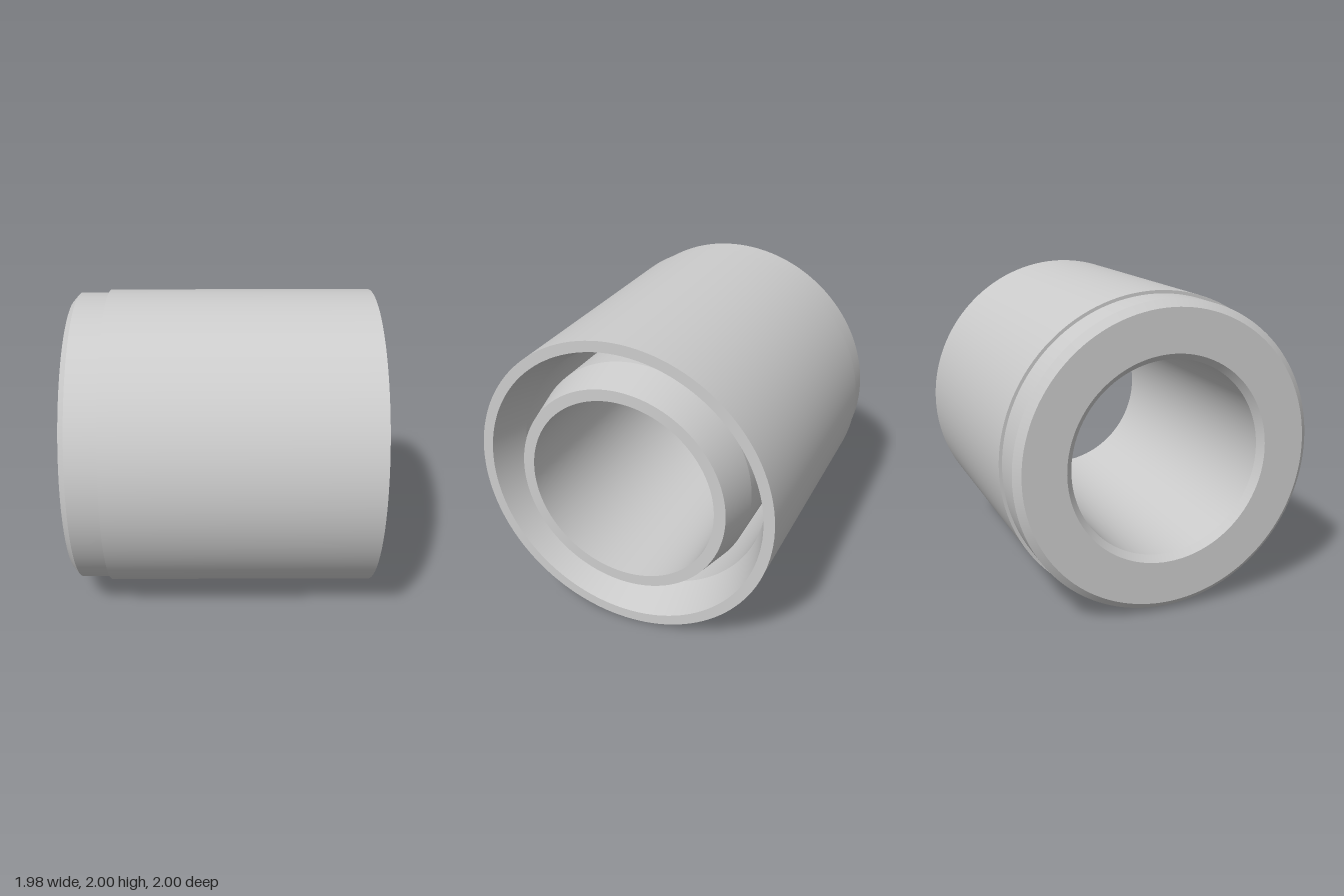
import * as THREE from 'three';

export function createModel() {
  const model = new THREE.Group();
  model.name = 'bushing';
  const steel = new THREE.MeshStandardMaterial({ color: 0xcccccc });
  steel.name = 'light grey metal';

  // Closed profile around the x axis: [name of the face that starts here, radius, x]
  const profile = [
    ['endFace', 0.66, -0.99],
    ['endChamfer', 0.935, -0.99],
    ['reducedCollar', 0.98, -0.95],
    ['collarStep', 0.98, -0.75],
    ['outerSleeve', 1, -0.75],
    ['outerRim', 1, 0.99],
    ['cavityLeadIn', 0.93, 0.99],
    ['cavityWall', 0.85, 0.72],
    ['cavityFloor', 0.85, -0.6],
    ['innerTubeWall', 0.755, -0.6],
    ['innerTubeTaper', 0.755, 0.72],
    ['innerTubeRim', 0.695, 0.99],
    ['bore', 0.62, 0.99],
    ['boreChamfer', 0.62, -0.95],
  ];

  // One lathe per face keeps the edges between them sharp
  profile.forEach(([name, r, x], i) => {
    const [, r2, x2] = profile[(i + 1) % profile.length];
    const points = [new THREE.Vector2(r, x), new THREE.Vector2(r2, x2)];
    const face = new THREE.Mesh(new THREE.LatheGeometry(points, 128), steel);
    face.name = name;
    face.rotation.z = -Math.PI / 2;
    face.position.y = 1;
    model.add(face);
  });
  return model;
}
